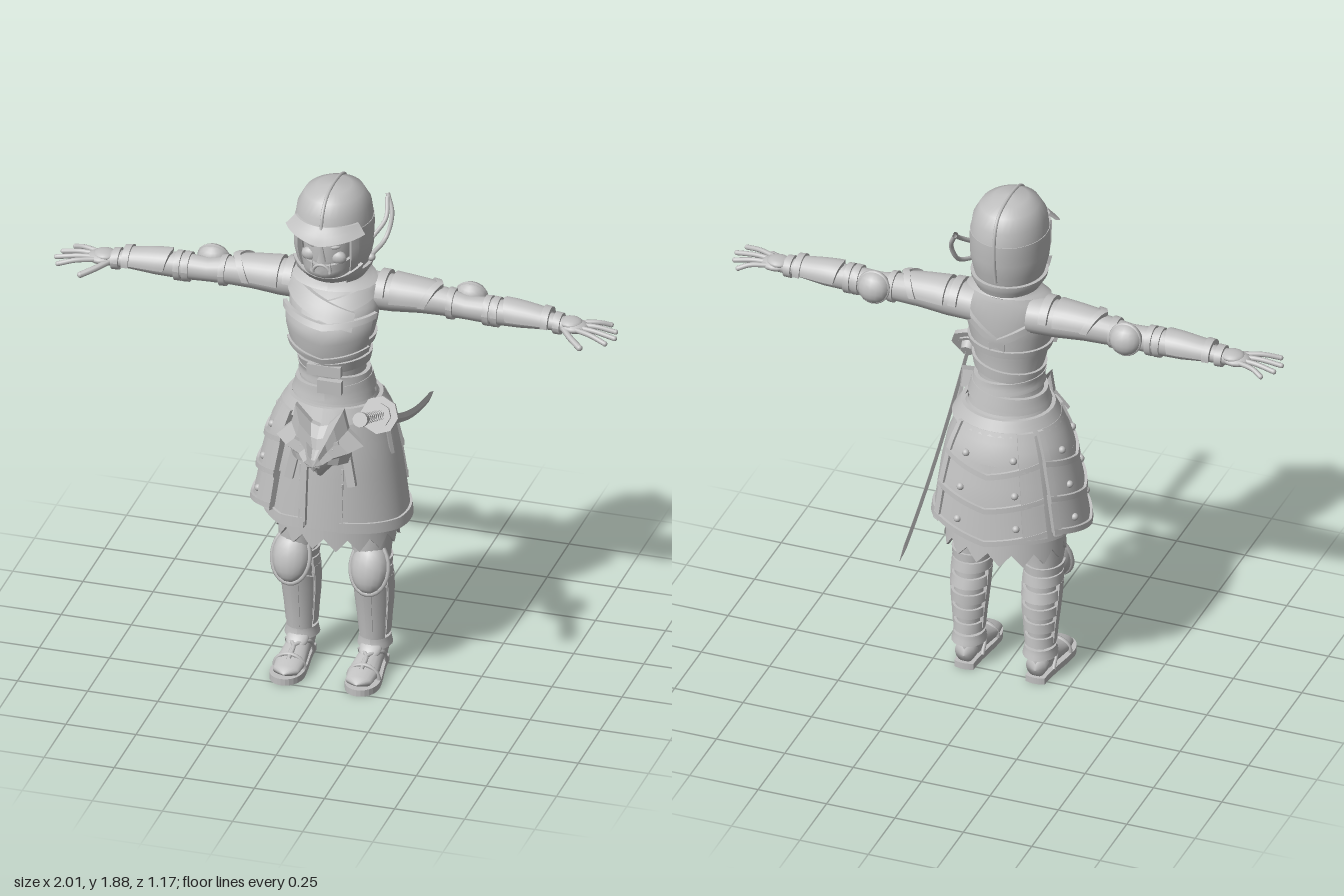
import * as THREE from 'three';
import { mergeVertices } from 'three/addons/utils/BufferGeometryUtils.js';

const grey = new THREE.MeshStandardMaterial({ color: 0xc0c0c0, side: THREE.DoubleSide });
grey.name = 'plain grey';
const V = (x, y, z) => new THREE.Vector3(x, y, z);
const val = (f, u) => (typeof f === 'function' ? f(u) : f);

function add(parent, name, geo, pos = [0, 0, 0], rot = [0, 0, 0], scale = [1, 1, 1]) {
  const m = new THREE.Mesh(geo, grey);
  m.name = name;
  m.position.set(...pos);
  m.rotation.set(...rot);
  m.scale.set(...scale);
  parent.add(m);
  return m;
}

// Grids of points, each with its own smooth normals
function grids(list) {
  const p = [], idx = [];
  for (const [f, nu, nv] of list) {
    const base = p.length / 3;
    for (let j = 0; j <= nv; j++) for (let i = 0; i <= nu; i++) p.push(...f(i / nu, j / nv).toArray());
    for (let j = 0; j < nv; j++) for (let i = 0; i < nu; i++) {
      const a = base + j * (nu + 1) + i, d = a + nu + 1;
      idx.push(a, a + 1, d + 1, a, d + 1, d);
    }
  }
  const g = new THREE.BufferGeometry();
  g.setAttribute('position', new THREE.Float32BufferAttribute(p, 3));
  g.setIndex(idx);
  return g;
}

// Profile rows are [y, rx, rz, cz, cx]; angle 0 faces the front
function surf(prof, t, y, off = 0) {
  let k = 0;
  while (k < prof.length - 2 && y > prof[k + 1][0]) k++;
  const a = prof[k], b = prof[k + 1];
  const w = THREE.MathUtils.clamp((y - a[0]) / (b[0] - a[0]), 0, 1);
  const m = i => (a[i] || 0) + ((b[i] || 0) - (a[i] || 0)) * w;
  return V(m(4) + (m(1) + off) * Math.sin(t), y, m(3) + (m(2) + off) * Math.cos(t));
}
function loft(prof, n = 24) {
  const f = (u, v) => surf(prof, u * 2 * Math.PI, prof[Math.round(v * (prof.length - 1))][0]);
  const g = mergeVertices(grids([[f, n, prof.length - 1]]), 1e-5);
  g.computeVertexNormals();
  return g;
}
// Thick plate wrapped round a profile between two angles (degrees)
function wrap(prof, t0, t1, lo, hi, off = 0.012, flare = 0, nu = 16, nv = 4, th = 0.014) {
  const f = (u, v, s) => {
    const l = val(lo, u), y = l + (val(hi, u) - l) * v;
    return surf(prof, THREE.MathUtils.degToRad(t0 + (t1 - t0) * u), y, off + flare * (1 - v) - s * th);
  };
  const g = grids([
    [(u, v) => f(u, v, 0), nu, nv], [(u, v) => f(1 - u, v, 1), nu, nv],
    [(u, v) => f(u, 0, 1 - v), nu, 1], [(u, v) => f(u, 1, v), nu, 1],
    [(u, v) => f(0, v, 1 - u), 1, nv], [(u, v) => f(1, v, u), 1, nv],
  ]);
  g.computeVertexNormals();
  return g;
}
const tube = (pts, r, n = 16) =>
  new THREE.TubeGeometry(new THREE.CatmullRomCurve3(pts.map(p => V(...p))), n, r, 8);
const ball = (r = 1) => new THREE.SphereGeometry(r, 16, 10);
const zig = (lo, amp, n) => u => lo + amp * Math.abs(((u * n) % 1) * 2 - 1);
const slope = (a, b) => u => a + (b - a) * u;

const TORSO = [[1.0, .16, .13, .07], [1.1, .125, .11, .07], [1.17, .108, .1, .075], [1.27, .13, .12, .09],
  [1.36, .152, .13, .09], [1.43, .16, .11, .07], [1.5, .14, .085, .05], [1.535, .085, .075, .055], [1.6, .062, .062, .065]];
const SKIRT = [[.6, .238, .178, .05], [.8, .215, .172, .05], [.95, .188, .16, .055], [1.07, .14, .125, .065]];
const UNDER = [[.5, .215, .17, .035], [.72, .2, .16, .045]];
const HELM = [[1.53, .085, .09, .065], [1.57, .115, .12, .075], [1.65, .133, .143, .08], [1.74, .134, .15, .08],
  [1.8, .125, .143, .08], [1.845, .1, .115, .08], [1.866, .06, .07, .085], [1.873, .001, .001, .09]];
const FACE = [[1.55, .045, .05, .12], [1.58, .075, .085, .135], [1.64, .09, .1, .125], [1.7, .095, .105, .12], [1.78, .09, .1, .12]];
const ARM = [[.1, .065, .07], [.2, .064, .066], [.3, .056, .056], [.38, .05, .048, 0, .005], [.46, .042, .042, .005, .012],
  [.55, .046, .045, .005, .012], [.65, .042, .042, .005, .014], [.75, .03, .032, .008, .017], [.83, .024, .034, .012, .02]];
const LEG = [[.05, .042, .05, .03], [.12, .04, .045, .032], [.2, .046, .05, .035], [.3, .056, .062, .04],
  [.4, .058, .064, .06], [.48, .068, .075, .07], [.62, .075, .08, .06]];

function buildHead(g) {
  add(g, 'face', loft(FACE));
  add(g, 'helmetDome', loft(HELM.slice(3), 32));
  add(g, 'helmetSides', wrap(HELM, 46, 314, 1.54, 1.75, .002, 0, 40, 8));
  add(g, 'neckGuard', wrap(HELM, 38, 322, 1.53, 1.585, .014, .006, 32));
  add(g, 'chinStrap', wrap(HELM, -60, 60, u => 1.535 + .03 * (2 * u - 1) ** 2, u => 1.565 + .05 * (2 * u - 1) ** 2, .02));
  add(g, 'browPeak', wrap(HELM, -56, 56, u => 1.715 + .03 * Math.abs(2 * u - 1), 1.775, .008, .03));
  add(g, 'helmetRidge', tube([[0, 1.76, .235], [0, 1.81, .222], [0, 1.855, .18], [0, 1.872, .09], [0, 1.85, -.03],
    [0, 1.8, -.063], [0, 1.7, -.07], [0, 1.6, -.055]], .006, 30));
  add(g, 'nose', new THREE.ConeGeometry(.02, .07, 4), [0, 1.675, .226], [0, .78, 0]);
  add(g, 'jawMask', wrap(FACE, -70, 70, u => 1.56 + .03 * Math.abs(2 * u - 1), u => 1.625 + .02 * Math.abs(2 * u - 1), .012));
  add(g, 'mouth', new THREE.TorusGeometry(.03, .006, 6, 16, Math.PI), [0, 1.6, .235]);
  for (const s of [1, -1]) {
    add(g, 'helmetEdge', wrap(HELM, s * 42, s * 54, 1.57, 1.745, .01, 0, 4, 6));
    add(g, 'brow', new THREE.BoxGeometry(.055, .012, .02), [s * .042, 1.715, .212], [0, s * .35, s * .25]);
    add(g, 'eye', ball(), [s * .04, 1.692, .208], [0, s * .35, 0], [.02, .008, .01]);
    add(g, 'cheek', ball(), [s * .05, 1.65, .2], [0, 0, 0], [.03, .025, .02]);
    add(g, 'fang', new THREE.ConeGeometry(.008, .04, 6), [s * .032, 1.625, .235]);
  }
  // Curled cord on the left of the helmet
  add(g, 'lowerCord', tube([[.125, 1.6, .07], [.155, 1.635, -.01], [.165, 1.71, -.05], [.14, 1.77, -.08]], .008));
  add(g, 'upperCord', tube([[.13, 1.67, .06], [.158, 1.715, 0], [.145, 1.765, -.06]], .008));
  add(g, 'cordEnd', ball(.014), [.13, 1.6, .075]);
}

function buildTorso(g) {
  add(g, 'torso', loft(TORSO, 32));
  add(g, 'chestPlate', wrap(TORSO, -64, 64, u => 1.245 + .035 * Math.abs(2 * u - 1), u => 1.385 + .025 * Math.abs(2 * u - 1), .018, 0, 20));
  add(g, 'chestTrim', wrap(TORSO, -66, 66, u => 1.24 + .035 * Math.abs(2 * u - 1), u => 1.262 + .035 * Math.abs(2 * u - 1), .026, 0, 20));
  add(g, 'chestTopTrim', wrap(TORSO, -66, 66, u => 1.375 + .025 * Math.abs(2 * u - 1), u => 1.395 + .025 * Math.abs(2 * u - 1), .026, 0, 20));
  // Crossed scarf and back straps
  add(g, 'scarfUnder', wrap(TORSO, 75, -30, slope(1.47, 1.38), slope(1.525, 1.43), .012));
  add(g, 'scarfOver', wrap(TORSO, -75, 35, slope(1.47, 1.37), slope(1.53, 1.43), .022));
  add(g, 'collar', wrap(TORSO, 0, 360, u => 1.515 - .02 * Math.cos(u * 2 * Math.PI), u => 1.55 - .015 * Math.cos(u * 2 * Math.PI), .018, .012, 32));
  for (const s of [1, -1]) add(g, 'backStrap', wrap(TORSO, s * 100, s * 190, slope(1.47, 1.32), slope(1.5, 1.35), .014));
  add(g, 'backBand', wrap(TORSO, 64, 296, 1.29, 1.315, .01, 0, 24));
  // Waist sashes and buckle
  [[1.19, 1.23, .01, .015], [1.135, 1.18, .014, -.015], [1.085, 1.135, .016, .012]].forEach(([a, b, o, k]) =>
    add(g, 'waistSash', wrap(TORSO, 0, 360, u => a + k * Math.sin(u * 2 * Math.PI), u => b + k * Math.sin(u * 2 * Math.PI), o, 0, 32)));
  add(g, 'upperBuckle', new THREE.BoxGeometry(.12, .04, .025), [0, 1.205, .195]);
  add(g, 'lowerBuckle', new THREE.BoxGeometry(.085, .05, .025), [.02, 1.145, .197]);
  add(g, 'belt', wrap(SKIRT, 0, 360, 1.015, 1.065, .022, .01, 32));
}

function buildSkirt(g) {
  add(g, 'skirt', loft(SKIRT, 36));
  add(g, 'raggedUnderskirt', wrap(UNDER, 0, 360, zig(.51, .045, 16), .72, 0, 0, 64, 2, .01));
  for (const s of [1, -1]) {
    add(g, 'frontPanel', wrap(SKIRT, s * 14, s * (s > 0 ? 125 : 60), u => .6 + .03 * Math.abs(u - .5), 1.03, .014, .006, 20));
    add(g, 'panelHem', wrap(SKIRT, s * 13, s * (s > 0 ? 126 : 60), u => .597 + .03 * Math.abs(u - .5), u => .635 + .03 * Math.abs(u - .5), .028, 0, 20));
    add(g, 'panelEdge', wrap(SKIRT, s * 12, s * 18, .62, 1.0, .026, 0, 3));
    for (let i = 0; i < 4; i++) add(g, 'chainLink', new THREE.BoxGeometry(.025, .045, .015), [s * .065, .66 + i * .055, .236 - i * .004]);
    add(g, 'frontTassel', new THREE.BoxGeometry(.03, .13, .02), [s * .1, .86, .235], [-.1, 0, s * .2]);
  }
  // Layered armour on the right side and the back
  for (const [t0, t1] of [[-128, -38], [138, 226]]) {
    [[.62, .8, .045], [.745, .92, .04], [.87, 1.03, .03]].forEach(([a, b, o]) => {
      const low = u => a + .045 * Math.abs(2 * u - 1);
      add(g, 'hangingPlate', wrap(SKIRT, t0, t1, low, b, o, .014));
      add(g, 'plateTrim', wrap(SKIRT, t0, t1, low, u => low(u) + .02, o + .022));
      for (const e of [.1, .9]) add(g, 'plateEdge', wrap(SKIRT, t0 + (t1 - t0) * (e - .1), t0 + (t1 - t0) * (e + .1) - (e < .5 ? 12 : 0),
        low(e), b, o + .01, .012, 4));
      for (const e of [.25, .75]) {
        const t = THREE.MathUtils.degToRad(t0 + (t1 - t0) * e);
        add(g, 'rivet', ball(.013), surf(SKIRT, t, a + .075, o + .01).toArray());
      }
    });
  }
  // Fox mask ornament, raised towards the snout
  const half = [[0, .075], [.03, .085], [.085, .15], [.1, .075], [.155, .02], [.11, -.01], [.1, -.055], [.055, -.06], [0, -.125]];
  const outline = [...half, ...half.slice(1, -1).reverse().map(([x, y]) => [-x, y])];
  const rings = [[1, -.02], [1, 0], [.72, .035], [.4, .05], [.22, .085], [0, .09]];
  const mask = grids([[(u, v) => {
    const [x, y] = outline[Math.round(u * outline.length) % outline.length];
    const [k, z] = rings[Math.round(v * 5)];
    return V(x * k, y * k - (1 - k) * .035, z);
  }, outline.length, 5]]).toNonIndexed();
  mask.computeVertexNormals();
  add(g, 'foxMask', mask, [0, .94, .245], [.08, 0, 0]);
  for (const s of [1, -1]) {
    add(g, 'foxEye', ball(), [s * .05, .95, .28], [0, 0, s * .4], [.022, .009, .012]);
    add(g, 'foxBrow', new THREE.BoxGeometry(.06, .012, .02), [s * .05, .968, .278], [0, 0, s * .4]);
  }
}

function buildArm(s) {
  const side = new THREE.Group(), arm = new THREE.Group();
  side.name = s > 0 ? 'leftArm' : 'rightArm';
  side.scale.x = s;
  arm.name = 'sleeveAndArmour';
  arm.position.set(0, 1.45, .03);
  arm.rotation.z = -Math.PI / 2;
  side.add(arm);
  add(arm, 'arm', loft(ARM, 20));
  add(arm, 'shoulderStrap', wrap(ARM, -170, -10, .15, .18, .014));
  add(arm, 'shoulderPlate', wrap(ARM, -175, 5, .2, u => .37 - .05 * Math.abs(2 * u - 1), .012));
  add(arm, 'shoulderTrim', wrap(ARM, -175, 5, u => .35 - .05 * Math.abs(2 * u - 1), u => .375 - .05 * Math.abs(2 * u - 1), .02));
  for (const x of [.395, .525, .555]) add(arm, 'armBand', wrap(ARM, 0, 360, x, x + .022, .008, 0, 20, 1));
  add(arm, 'bracer', wrap(ARM, -185, 5, u => .59 + .02 * Math.abs(2 * u - 1), .75, .014));
  add(arm, 'bracerTrim', wrap(ARM, -188, 8, .735, .76, .022));
  add(arm, 'wristBand', wrap(ARM, 0, 360, .775, .8, .01, 0, 20, 1));
  add(side, 'elbowGuard', ball(), [.46, 1.455, -.015], [.25, 0, 0], [.058, .056, .045]);
  add(side, 'elbowRim', new THREE.TorusGeometry(.052, .008, 6, 20), [.46, 1.457, -.02], [.25, 0, 0]);
  add(side, 'palm', ball(), [.842, 1.43, .042], [0, 0, 0], [.052, .02, .044]);
  add(side, 'handGuard', ball(), [.83, 1.442, .04], [0, 0, 0], [.042, .017, .038]);
  for (let i = 0; i < 4; i++) {
    const z = .015 + i * .02, w = (i - 1.4) * .02, r = [.955, .985, .995, .975][i];
    add(side, 'finger', tube([[.86, 1.433, z], [.92, 1.432, z + w * .7], [r, 1.42, z + w * 1.3]], .009, 8));
    add(side, 'fingertip', ball(.009), [r, 1.42, z + w * 1.3]);
  }
  add(side, 'thumb', tube([[.81, 1.428, .065], [.845, 1.415, .1], [.89, 1.4, .135]], .011, 8));
  add(side, 'thumbTip', ball(.011), [.89, 1.4, .135]);
  return side;
}

function buildLeg(s) {
  const side = new THREE.Group(), leg = new THREE.Group();
  side.name = s > 0 ? 'leftLeg' : 'rightLeg';
  side.scale.x = s;
  leg.name = 'lowerBody';
  leg.position.x = .13;
  side.add(leg);
  add(leg, 'leg', loft(LEG, 20));
  add(leg, 'shinGuard', wrap(LEG, -55, 55, .13, u => .37 - .03 * Math.abs(2 * u - 1), .014));
  add(leg, 'shinRidge', wrap(LEG, -10, 10, .14, .36, .022, 0, 4));
  for (const a of [-1, 1]) add(leg, 'sideSplint', wrap(LEG, a * 62, a * 105, .15, .38, .014, 0, 6));
  for (const y of [.14, .2, .26, .32, .38]) add(leg, 'calfWrap', wrap(LEG, 60, 300, y, y + .035, .009, .004, 16, 1));
  add(leg, 'kneeGuard', ball(), [.01, .43, .128], [-.3, 0, 0], [.066, .092, .048]);
  add(leg, 'kneeRim', new THREE.TorusGeometry(.066, .009, 6, 24), [.01, .43, .13], [-.3, 0, 0], [1, 1.38, 1]);
  add(leg, 'kneeStrap', wrap(LEG, 40, 320, .42, .45, .008));
  // Sandalled foot
  const sole = new THREE.Shape();
  sole.moveTo(-.035, .03).quadraticCurveTo(0, .045, .035, .03);
  sole.bezierCurveTo(.04, -.06, .062, -.12, .064, -.18);
  sole.bezierCurveTo(.06, -.28, -.05, -.28, -.056, -.18);
  sole.bezierCurveTo(-.052, -.1, -.035, -.05, -.035, .03);
  add(leg, 'sole', new THREE.ExtrudeGeometry(sole, { depth: .024, bevelEnabled: false }), [0, 0, .01], [-Math.PI / 2, 0, 0]);
  const FOOT = [[-.022, .002, .002, -.05], [-.012, .036, .04, -.06], [.04, .042, .05, -.07], [.1, .046, .04, -.055],
    [.17, .054, .028, -.042], [.225, .046, .02, -.036], [.25, .002, .002, -.034]];
  add(leg, 'foot', loft(FOOT, 18), [0, 0, 0], [Math.PI / 2, 0, 0]);
  add(leg, 'ankleBand', wrap(LEG, 0, 360, .095, .13, .014, .006, 20));
  add(leg, 'toeStrap', new THREE.TorusGeometry(.054, .008, 6, 16, Math.PI), [.002, .025, .17], [0, 0, 0], [1, .9, 1]);
  for (const a of [-1, 1]) add(leg, 'footStrap', tube([[a * .045, .03, .04], [a * .04, .085, .08], [0, .085, .13], [0, .065, .19]], .007));
  add(leg, 'insteepGuard', ball(), [0, .095, .085], [.6, 0, 0], [.04, .018, .05]);
  return side;
}

function buildSword(g) {
  const G = V(.225, 1.11, .28), H = V(.245, 1.245, .575);
  const curve = new THREE.QuadraticBezierCurve3(G, V(.19, .835, -.15), V(.148, .75, -.58));
  // Blade swept as a thin diamond section
  const blade = grids([[(u, v) => {
    const t = curve.getTangent(v), side = V(1, 0, 0), up = t.clone().cross(side).normalize();
    const a = u * 2 * Math.PI, w = .017 * Math.min(1, (1 - v) * 12 + .02);
    return curve.getPoint(v).addScaledVector(up, Math.cos(a) * w).addScaledVector(side, Math.sin(a) * w * .4);
  }, 4, 36]]).toNonIndexed();
  blade.computeVertexNormals();
  add(g, 'swordBlade', blade);
  const dir = H.clone().sub(G), q = new THREE.Quaternion().setFromUnitVectors(V(0, 1, 0), dir.clone().normalize());
  const onAxis = (name, geo, k) => add(g, name, geo, G.clone().addScaledVector(dir, k).toArray()).quaternion.copy(q);
  onAxis('swordGuard', new THREE.CylinderGeometry(.066, .066, .016, 8), .02);
  onAxis('guardRing', new THREE.CylinderGeometry(.042, .042, .035, 8), .03);
  onAxis('bladeCollar', new THREE.CylinderGeometry(.03, .024, .03, 8), -.06);
  onAxis('swordGrip', new THREE.CylinderGeometry(.022, .02, dir.length(), 12), .5);
  for (let i = 0; i < 9; i++) onAxis('gripWrap', new THREE.CylinderGeometry(.025, .021, .022, 8), .13 + i * .093);
  onAxis('pommel', new THREE.CylinderGeometry(.026, .026, .025, 12), .97);
  add(g, 'swordHanger', new THREE.BoxGeometry(.045, .06, .08), [.185, 1.055, .16], [.4, .4, 0]);
  add(g, 'hangerRibbon', new THREE.BoxGeometry(.012, .14, .045), [.215, .97, .15], [.15, .5, .1]);
}

export function createModel() {
  const model = new THREE.Group();
  model.name = 'armouredSwordFighter';
  for (const [name, build] of [['head', buildHead], ['upperBody', buildTorso], ['skirtArmour', buildSkirt], ['sword', buildSword]]) {
    const g = new THREE.Group();
    g.name = name;
    build(g);
    model.add(g);
  }
  for (const s of [1, -1]) model.add(buildArm(s), buildLeg(s));
  return model;
}
